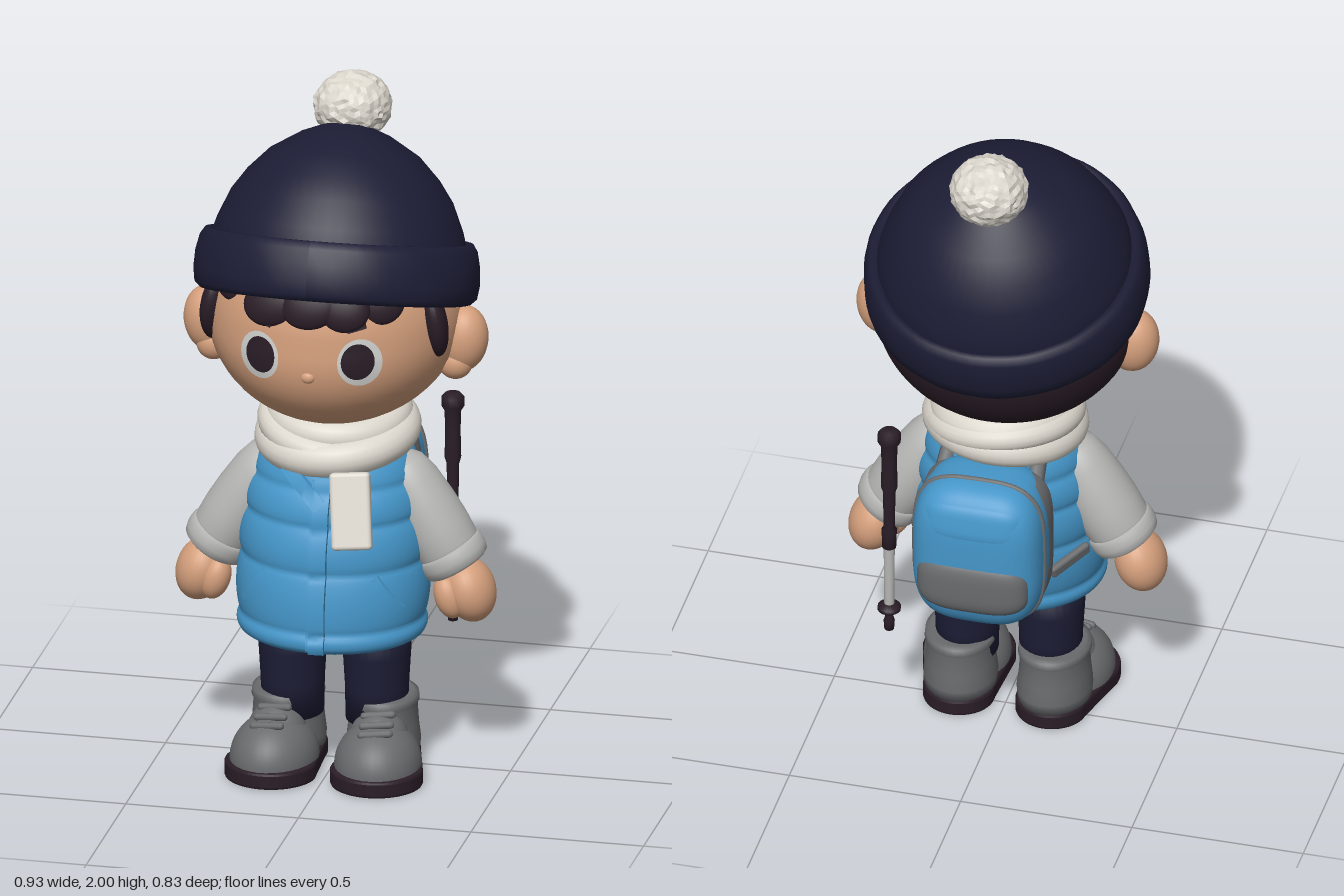
import * as THREE from 'three';
import { RoundedBoxGeometry } from 'three/addons/geometries/RoundedBoxGeometry.js';

const mat = (name, color) => Object.assign(new THREE.MeshStandardMaterial({ color }), { name });
const skin = mat('skin', 0xd49f7c), navy = mat('navy', 0x1c1d35), blue = mat('blue', 0x4596c9);
const cream = mat('cream', 0xdcd7cd), paleGrey = mat('pale grey', 0xb6b6b5), grey = mat('grey', 0x6a6b6d);
const dark = mat('dark brown', 0x2a1d27), white = mat('eye white', 0xd2d2d0);

const V2 = (pts) => pts.map(([x, y]) => new THREE.Vector2(x, y));
const lathe = (pts, seg = 40) => new THREE.LatheGeometry(V2(pts), seg);

// Move every vertex of a geometry by a rule, then refresh its normals
function warp(geo, rule) {
  const p = geo.attributes.position, v = new THREE.Vector3();
  for (let i = 0; i < p.count; i++) {
    rule(v.fromBufferAttribute(p, i));
    p.setXYZ(i, v.x, v.y, v.z);
  }
  geo.computeVertexNormals();
  return geo;
}

// Head surface: an ellipsoid with fuller cheeks
const HEAD = { y: 1.37, z: 0.025, rx: 0.365, ry: 0.32, rz: 0.36 };
const cheek = (ny, nz) => (nz > 0 ? 1 + 0.15 * Math.max(0, -ny) : 1);
function faceZ(x, y) {
  const nx = x / HEAD.rx, ny = (y - HEAD.y) / HEAD.ry;
  const nz = Math.sqrt(Math.max(0, 1 - nx * nx - ny * ny));
  return HEAD.z + HEAD.rz * nz * cheek(ny, nz);
}

// Vest surface: quilted rings that lean back towards the shoulders
const SEAMS = [[0.42, 0.25], [0.475, 0.259], [0.65, 0.26], [0.78, 0.25], [0.88, 0.23], [0.97, 0.19], [1.01, 0.12]];
function vestR(y) {
  let i = 0;
  while (i < SEAMS.length - 2 && y > SEAMS[i + 1][0]) i++;
  const [y0, r0] = SEAMS[i], [y1, r1] = SEAMS[i + 1];
  const t = (y - y0) / (y1 - y0);
  return r0 + (r1 - r0) * t + 0.017 * Math.sqrt(Math.max(0, Math.sin(Math.PI * t)));
}
const vestCentre = (y) => 0.072 - 0.13 * (y - 0.45);
const vestZ = (x, y) => vestCentre(y) + 0.88 * Math.sqrt(Math.max(0, vestR(y) ** 2 - x * x));

// Wrap a flat piece onto a front surface
const drape = (geo, surface, lift) => warp(geo, (v) => { v.z += surface(v.x, v.y) + lift; });

// Padded pillow shape: a sphere pushed out towards a box
const pad = (size, power) => warp(new THREE.SphereGeometry(1, 48, 32), (v) => {
  const f = (n) => Math.sign(n) * Math.abs(n) ** power;
  v.set(f(v.x) * size[0], f(v.y) * size[1], f(v.z) * size[2]);
});

export function createModel() {
  const root = new THREE.Group();
  const add = (name, geo, material, pos = [0, 0, 0], rot = [0, 0, 0], parent = root) => {
    const m = new THREE.Mesh(geo, material);
    m.name = name;
    m.position.set(...pos);
    m.rotation.set(...rot);
    parent.add(m);
    return m;
  };
  const blob = (name, material, pos, size, rot, parent) =>
    add(name, new THREE.SphereGeometry(1, 28, 20).scale(...size), material, pos, rot, parent);
  const group = (name, pos, rot = [0, 0, 0]) => {
    const g = new THREE.Group();
    g.name = name;
    g.position.set(...pos);
    g.rotation.set(...rot);
    root.add(g);
    return g;
  };

  // Head, nose and neck
  add('head', warp(new THREE.SphereGeometry(1, 48, 36), (v) => v.set(
    v.x * HEAD.rx, HEAD.y + v.y * HEAD.ry, HEAD.z + v.z * HEAD.rz * cheek(v.y, v.z))), skin);
  blob('nose', skin, [0, 1.285, faceZ(0, 1.285) - 0.004], [0.02, 0.017, 0.013]);
  add('neck', new THREE.CylinderGeometry(0.11, 0.12, 0.2, 24), skin, [0, 1.02, 0]);

  // Hair: back shell, cap under the hat and fringe tufts
  const hairSize = [HEAD.rx * 1.035, HEAD.ry * 1.03, HEAD.rz * 1.02];
  const hairPos = [0, HEAD.y, HEAD.z];
  add('hairBack', new THREE.SphereGeometry(1, 32, 28, Math.PI * 1.06, Math.PI * 0.88, 0, 2.6).scale(...hairSize), dark, hairPos);
  add('hairCap', new THREE.SphereGeometry(1, 40, 12, 0, Math.PI * 2, 0, 1.1).scale(...hairSize), dark, hairPos);
  for (const [x, y, w, tilt] of [[-0.24, 1.515, 0.06, -0.4], [-0.115, 1.487, 0.085, 0.25], [0.0, 1.492, 0.085, 0.2],
    [0.095, 1.487, 0.075, -0.2], [0.19, 1.5, 0.07, 0.45]])
    blob('fringeTuft', dark, [x, y, faceZ(x, y) - 0.004], [w, 0.068, 0.03], [-0.35, x * 1.5, tilt]);

  for (const s of [-1, 1]) {
    // Ears, sideburns, eyes and brows
    blob('ear', skin, [s * 0.368, 1.305, 0.025], [0.072, 0.098, 0.068], [0, 0, -s * 0.1]);
    blob('earLobe', skin, [s * 0.35, 1.24, 0.045], [0.05, 0.05, 0.045]);
    blob('sideHair', dark, [s * 0.312, 1.395, 0.155], [0.04, 0.105, 0.07], [0.15, s * 0.4, s * 0.1]);
    const disc = (rx, ry, x, y) => new THREE.RingGeometry(0.001, 1, 28, 4).scale(rx, ry, 1).translate(s * x, y, 0);
    add('eyeWhite', drape(disc(0.06, 0.071, 0.145, 1.334), faceZ, 0.005), white);
    add('iris', drape(disc(0.045, 0.054, 0.141, 1.338), faceZ, 0.009), dark);
    add('brow', drape(new THREE.BoxGeometry(0.05, 0.014, 0.008, 4, 1, 1).rotateZ(s * 0.25)
      .translate(s * 0.135, 1.435, 0), faceZ, 0.004), dark);

    // Arm: sleeve with a turned cuff
    const arm = group('arm', [s * 0.355, 0.615, 0.02], [0, 0, s * 0.53]);
    add('sleeve', lathe([[0, 0.03], [0.085, 0.03], [0.094, 0.07], [0.096, 0.13], [0.093, 0.2], [0.085, 0.28],
      [0.07, 0.335], [0.04, 0.37], [0, 0.38]]).scale(1, 1, 1.06), paleGrey, [0, 0, 0], [0, 0, 0], arm);
    add('cuff', lathe([[0, 0], [0.083, 0], [0.095, 0.008], [0.101, 0.03], [0.1, 0.055], [0.094, 0.064], [0.08, 0.066]])
      .scale(1, 1, 1.04), paleGrey, [0, 0, 0], [0, 0, 0], arm);

    // Hand
    blob('hand', skin, [s * 0.388, 0.55, 0.026], [0.073, 0.095, 0.086], [0, 0, s * 0.3]);
    blob('thumb', skin, [s * 0.338, 0.54, 0.07], [0.042, 0.066, 0.045], [0, 0, s * 0.3]);

    // Leg
    add('leg', lathe([[0, 0.15], [0.088, 0.15], [0.09, 0.25], [0.096, 0.35], [0.1, 0.46], [0, 0.46]], 28)
      .scale(1, 1, 1.15), navy, [s * 0.122, 0, 0.04]);

    // Boot: sole, shaft, instep, toe and laces
    const boot = group('boot', [s * 0.135, 0, 0], [0, s * 0.1, 0]);
    const outline = new THREE.Shape();
    outline.absarc(0, -0.18, 0.124, Math.PI, 2 * Math.PI);
    outline.absarc(0, 0, 0.095, 0, Math.PI);
    outline.closePath();
    add('sole', new THREE.ExtrudeGeometry(outline, { depth: 0.034, bevelSize: 0.008, bevelThickness: 0.008,
      bevelSegments: 2, curveSegments: 16 }).rotateX(-Math.PI / 2).translate(0, 0.008, 0), dark, [0, 0, 0], [0, 0, 0], boot);
    add('shaft', lathe([[0, 0.045], [0.103, 0.045], [0.106, 0.08], [0.1, 0.13], [0.096, 0.19], [0.102, 0.2],
      [0.1, 0.22], [0.085, 0.225], [0, 0.215]], 32).scale(1, 1, 1.22), grey, [0, 0, 0.026], [0, 0, 0], boot);
    add('toe', new THREE.SphereGeometry(1, 32, 14, 0, Math.PI * 2, 0, Math.PI / 2).scale(0.124, 0.127, 0.155),
      grey, [0, 0.047, 0.15], [0, 0, 0], boot);
    blob('instep', grey, [0, 0.115, 0.125], [0.085, 0.085, 0.085], [0.5, 0, 0], boot);
    for (const [y, z] of [[0.192, 0.148], [0.175, 0.185], [0.16, 0.218]])
      add('lace', new THREE.CapsuleGeometry(0.011, 0.08, 4, 10).rotateZ(Math.PI / 2 + 0.1), grey, [0, y, z], [0, 0, 0], boot);

    // Vest pocket welt and backpack straps
    add('pocket', drape(new THREE.BoxGeometry(0.018, 0.12, 0.016, 2, 8, 1).rotateZ(s * 0.6)
      .translate(s * 0.195, 0.59, 0), vestZ, 0.004), blue);
    add('hipStrap', new RoundedBoxGeometry(0.022, 0.04, 0.14, 2, 0.01), grey, [s * 0.215, 0.605, -0.105], [-0.3, s * 0.6, 0]);
    add('shoulderStrap', new THREE.TubeGeometry(new THREE.CatmullRomCurve3([[0.13, 0.72, -0.2], [0.135, 0.88, -0.2],
      [0.13, 0.95, -0.13]].map(([x, y, z]) => new THREE.Vector3(s * x, y, z))), 12, 0.025, 8), grey);
  }
  blob('hips', navy, [0, 0.43, 0.045], [0.2, 0.085, 0.13]);

  // Quilted vest with zip placket and collar flap
  const rows = Array.from({ length: 71 }, (_, i) => 0.42 + (0.59 * i) / 70);
  const vest = lathe([[0, 0.43], [0.22, 0.425], ...rows.map((y) => [vestR(y), y]), [0, 1.015]], 56);
  add('vest', warp(vest, (v) => { v.z = v.z * 0.88 + vestCentre(v.y); }), blue);
  add('zipPlacket', drape(new THREE.BoxGeometry(0.045, 0.5, 0.02, 2, 40, 1).translate(0.008, 0.675, 0), vestZ, 0.006), blue);
  add('zip', drape(new THREE.BoxGeometry(0.007, 0.48, 0.008, 1, 40, 1).translate(-0.018, 0.675, 0), vestZ, 0.01), blue);
  add('collarFlap', drape(new THREE.BoxGeometry(0.04, 0.16, 0.02, 2, 10, 1).rotateZ(0.85).translate(-0.055, 0.9, 0),
    vestZ, 0.008), blue);

  // Scarf: wraps and a hanging tail
  const wrap = (name, R, t, pos, rot) => add(name,
    new THREE.TorusGeometry(R, t, 16, 48).rotateX(Math.PI / 2).scale(1, 1, 1.03), cream, pos, rot);
  wrap('scarfLower', 0.185, 0.052, [0, 0.992, 0], [0.13, 0, 0.06]);
  wrap('scarfUpper', 0.16, 0.05, [0, 1.045, -0.015], [0.13, 0, -0.05]);
  wrap('scarfFold', 0.19, 0.04, [0, 1.02, -0.008], [0.18, 0, -0.1]);
  add('scarfTail', new RoundedBoxGeometry(0.115, 0.22, 0.045, 3, 0.012), cream, [0.1, 0.85, 0.272], [-0.3, 0.1, 0.1]);

  // Knitted hat, tilted back, with rolled band and pompom
  const hat = group('hat', [0, 1.41, 0.034], [-0.31, 0, 0]);
  add('hatDome', lathe([[0.365, 0.08], [0.363, 0.15], [0.348, 0.2], [0.314, 0.28], [0.272, 0.34], [0.212, 0.402],
    [0.125, 0.455], [0.055, 0.482], [0, 0.49]], 56), navy, [0, 0, 0], [0, 0, 0], hat);
  const band = lathe([[0.33, 0.03], [0.35, 0.004], [0.383, -0.004], [0.4, 0.012], [0.406, 0.05], [0.404, 0.1],
    [0.394, 0.145], [0.38, 0.166], [0.365, 0.166], [0.355, 0.15]], 72);
  add('hatBand', warp(band, (v) => {
    const a = Math.atan2(v.x, v.z), k = 1 + 0.004 * Math.sin(11 * a) * Math.sin(5 * a + v.y * 20);
    v.x *= k; v.z *= k;
  }), navy, [0, 0, 0], [0, 0, 0], hat);
  const hash = (v) => {
    const n = Math.sin(Math.round(v.x * 999) * 12.99 + Math.round(v.y * 999) * 78.23 + Math.round(v.z * 999) * 37.72) * 4375.85;
    return n - Math.floor(n);
  };
  add('pompom', warp(new THREE.IcosahedronGeometry(1, 7), (v) => {
    v.multiplyScalar(0.94 + 0.09 * hash(v)).multiply(new THREE.Vector3(0.112, 0.098, 0.114));
  }), cream, [0, 1.901, -0.185]);

  // Backpack: grey back panel and piping, padded blue body, lid and grey pocket
  add('packPanel', pad([0.19, 0.225, 0.07], 0.5), grey, [0, 0.735, -0.215]);
  add('packBody', pad([0.19, 0.235, 0.15], 0.6), blue, [0, 0.738, -0.255]);
  add('packPiping', pad([0.196, 0.24, 0.016], 0.6), grey, [0, 0.738, -0.292]);
  add('packLid', pad([0.155, 0.075, 0.09], 0.6), blue, [0, 0.86, -0.31], [0.2, 0, 0]);
  add('packPocket', pad([0.165, 0.095, 0.085], 0.6), grey, [0, 0.665, -0.332]);

  // Hiking pole: grip, shaft, basket and tip
  const pole = group('hikingPole', [0.282, 0, -0.22]);
  add('poleGrip', lathe([[0, 0.64], [0.02, 0.64], [0.022, 0.7], [0.016, 0.71], [0.018, 0.83], [0.024, 0.85], [0.022, 0.93],
    [0.024, 0.99], [0.033, 1.005], [0.033, 1.03], [0.022, 1.042], [0, 1.044]], 16), dark, [0, 0, 0], [0, 0, 0], pole);
  add('poleShaft', new THREE.CylinderGeometry(0.016, 0.014, 0.24, 14), paleGrey, [0, 0.54, 0], [0, 0, 0], pole);
  add('poleBasket', lathe([[0, 0.355], [0.014, 0.357], [0.016, 0.385], [0.01, 0.405], [0.012, 0.418], [0.033, 0.424],
    [0.033, 0.436], [0.016, 0.445], [0, 0.446]], 16), dark, [0, 0, 0], [0, 0, 0], pole);
  return root;
}
